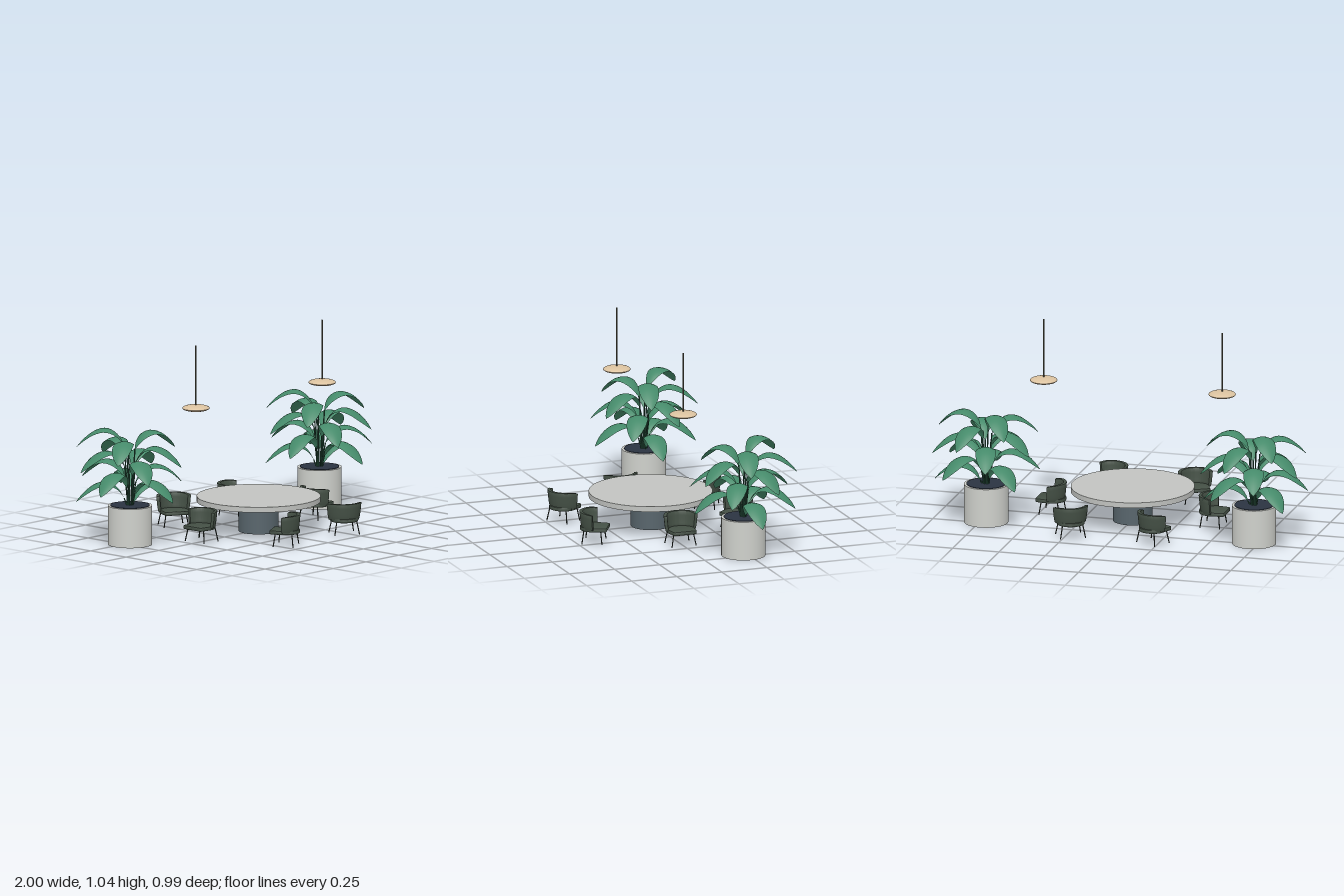
import * as THREE from 'three';
import { toCreasedNormals } from 'three/addons/utils/BufferGeometryUtils.js';

const mat = (name, color, side = THREE.FrontSide) => {
  const m = new THREE.MeshStandardMaterial({ color, side });
  m.name = name;
  return m;
};

export function createModel() {
  const M = {
    stone: mat('table stone', 0xc2c4c1),
    slate: mat('table base slate', 0x58656c),
    pot: mat('planter grey', 0xcfd1cc),
    soil: mat('soil', 0x2b3442),
    leaf: mat('leaf green', 0x458a6a, THREE.DoubleSide),
    stem: mat('stem green', 0x2c5a45),
    fabric: mat('chair fabric', 0x455146),
    leg: mat('chair leg', 0x323934),
    shade: mat('lamp shade tan', 0xdcc3a0),
    rod: mat('lamp rod', 0x5f5d4c),
  };
  const root = new THREE.Group();
  root.name = 'diningSet';
  const set = new THREE.Group();
  set.name = 'furniture';
  set.position.set(-0.003, 0, 0.012);
  root.add(set);

  const add = (parent, name, geo, material, x = 0, y = 0, z = 0) => {
    const mesh = new THREE.Mesh(geo, material);
    mesh.name = name;
    mesh.position.set(x, y, z);
    parent.add(mesh);
    return mesh;
  };
  const cyl = (r, h, n = 64) => new THREE.CylinderGeometry(r, r, h, n);
  const tube = (pts, r, n, sides = 6) => new THREE.TubeGeometry(
    new THREE.CatmullRomCurve3(pts.map(p => new THREE.Vector3(...p))), n, r, sides);

  // Round table
  add(set, 'tableTop', cyl(0.321, 0.028, 96), M.stone, 0, 0.171, 0);
  add(set, 'tableBase', cyl(0.103, 0.157), M.slate, 0, 0.0785, 0);

  // Chair seat: straight front and sides, rounded rear
  const seatShape = new THREE.Shape();
  seatShape.moveTo(-0.052, -0.071);
  seatShape.lineTo(0.052, -0.071);
  seatShape.quadraticCurveTo(0.06, -0.071, 0.061, -0.063);
  seatShape.lineTo(0.069, 0);
  seatShape.absarc(0, 0, 0.069, 0, Math.PI, false);
  seatShape.lineTo(-0.061, -0.063);
  seatShape.quadraticCurveTo(-0.06, -0.071, -0.052, -0.071);
  const seatGeo = toCreasedNormals(new THREE.ExtrudeGeometry(seatShape, {
    depth: 0.012, bevelThickness: 0.004, bevelSize: 0.004, bevelSegments: 2, curveSegments: 20,
  }).rotateX(-Math.PI / 2), 0.6);

  // Wrap-around backrest: curved wall, flaring upward, lower at its ends
  const backShape = new THREE.Shape();
  const a0 = 0.2, a1 = Math.PI - 0.2;
  backShape.absarc(0, -0.02, 0.092, a0, a1, false);
  backShape.absarc(0, -0.02, 0.08, a1, a0, true);
  backShape.closePath();
  let backGeo = new THREE.ExtrudeGeometry(backShape, {
    depth: 0.083, steps: 4, bevelThickness: 0.003, bevelSize: 0.003, bevelSegments: 2, curveSegments: 24,
  }).rotateX(-Math.PI / 2);
  const bp = backGeo.attributes.position;
  for (let i = 0; i < bp.count; i++) {
    const h = Math.max(bp.getY(i) / 0.083, 0);
    const s = 0.89 + 0.11 * Math.pow(h, 0.7);
    const z = bp.getZ(i);
    const end = THREE.MathUtils.clamp((z + 0.05) / 0.055, 0, 1);
    bp.setXYZ(i, bp.getX(i) * s, bp.getY(i) - 0.006 * end * end * h, 0.02 + (z - 0.02) * s);
  }
  backGeo = toCreasedNormals(backGeo, 0.6);

  const makeChair = () => {
    const chair = new THREE.Group();
    chair.name = 'chair';
    add(chair, 'seat', seatGeo, M.fabric, 0, 0.077, 0);
    add(chair, 'backrest', backGeo, M.fabric, 0, 0.086, 0);
    for (const sx of [-1, 1]) for (const sz of [-1, 1]) {
      add(chair, 'leg', tube([[sx * 0.054, 0.077, sz * 0.044], [sx * 0.067, 0.007, sz * 0.053]], 0.003, 1, 8), M.leg);
    }
    return chair;
  };
  // Chairs on each side: one at the table's flank turned outward, two skewed at the front and back
  for (const s of [-1, 1]) {
    for (const [x, z, turn] of [[0.434, 0, 90], [0.222, 0.399, 150], [0.222, -0.396, 30]]) {
      const chair = makeChair();
      chair.position.set(s * x, 0, z);
      chair.rotation.y = s * THREE.MathUtils.degToRad(turn);
      set.add(chair);
    }
  }

  // Pendant lamps
  const shadeGeo = new THREE.SphereGeometry(0.071, 40, 20).scale(1, 0.23, 1);
  for (const s of [-1, 1]) {
    const lamp = new THREE.Group();
    lamp.name = 'pendantLamp';
    lamp.position.set(s * 0.481, 0, 0.003);
    add(lamp, 'lampShade', shadeGeo, M.shade, 0, 0.716, 0);
    add(lamp, 'lampRod', cyl(0.0038, 0.315, 12), M.rod, 0, 0.8875, 0);
    set.add(lamp);
  }

  // Leaf blade: a plane bent along an arch; height is measured from the tip
  const arch = new THREE.CatmullRomCurve3([
    [0.03, 0.015], [0.054, 0.06], [0.09, 0.093], [0.13, 0.106], [0.18, 0.094], [0.225, 0.063], [0.258, 0.03], [0.282, 0],
  ].map(([x, y]) => new THREE.Vector3(x, y, 0)));
  const leafGeo = new THREE.PlaneGeometry(2, 1, 6, 18);
  const lp = leafGeo.attributes.position;
  for (let i = 0; i < lp.count; i++) {
    const t = lp.getY(i) + 0.5, s = lp.getX(i);
    const p = arch.getPointAt(t);
    const w = 0.052 * Math.pow(Math.max(Math.sin(Math.PI * Math.pow(t, 1.15)), 0), 0.85) + 0.002 * (1 - t);
    lp.setXYZ(i, p.x, p.y - s * s * w * 0.3, s * w);
  }
  leafGeo.computeVertexNormals();

  // Potted plants: leaves climb in a golden-angle spiral
  for (const s of [-1, 1]) {
    const plant = new THREE.Group();
    plant.name = 'pottedPlant';
    plant.position.set(s * 0.722, 0, -0.239);
    add(plant, 'planter', cyl(0.115, 0.205), M.pot, 0, 0.1025, 0);
    add(plant, 'soil', cyl(0.102, 0.006), M.soil, 0, 0.205, 0);
    for (let i = 0; i < 15; i++) {
      const sprig = new THREE.Group();
      sprig.name = 'leafSprig';
      sprig.rotation.y = THREE.MathUtils.degToRad(137.5 * i);
      const tip = 0.205 + 0.0213 * i;
      add(sprig, 'leaf', leafGeo, M.leaf, 0, tip, 0);
      add(sprig, 'stem', tube([[0.014, 0.2, 0], [0.019, 0.1 + tip / 2, 0], [0.031, tip + 0.017, 0]], 0.0035, 6), M.stem);
      plant.add(sprig);
    }
    set.add(plant);
  }
  return root;
}
